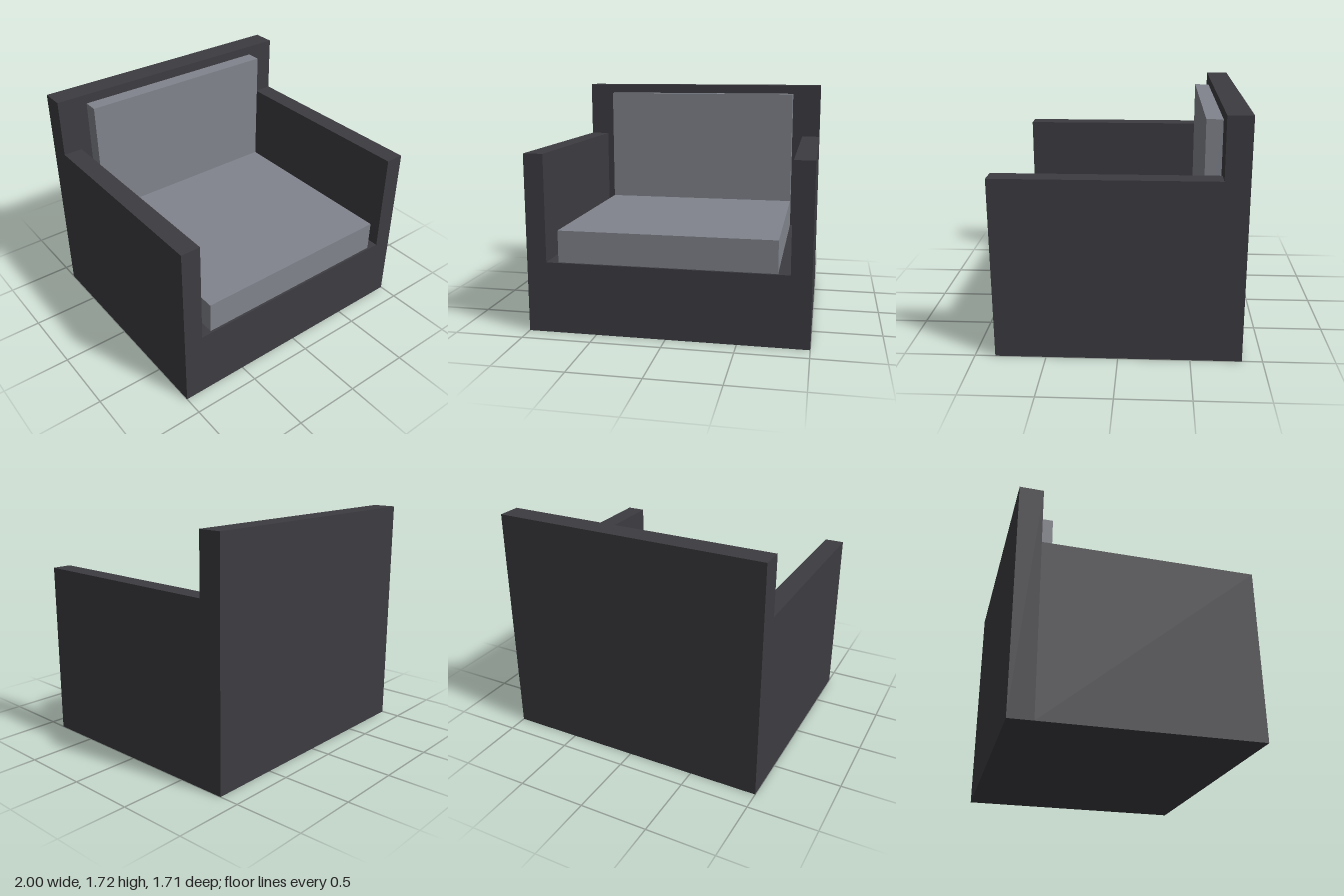
import * as THREE from 'three';

export function createModel() {
  const model = new THREE.Group();
  model.name = 'armchair';

  const frameMaterial = new THREE.MeshStandardMaterial({ color: 0x3d3c41 });
  frameMaterial.name = 'charcoal frame';
  const cushionMaterial = new THREE.MeshStandardMaterial({ color: 0x81848d });
  cushionMaterial.name = 'grey cushion';

  // Box given by its lower and upper corners
  function block(name, material, [x0, y0, z0], [x1, y1, z1]) {
    const mesh = new THREE.Mesh(new THREE.BoxGeometry(x1 - x0, y1 - y0, z1 - z0), material);
    mesh.position.set((x0 + x1) / 2, (y0 + y1) / 2, (z0 + z1) / 2);
    mesh.name = name;
    model.add(mesh);
  }

  const depth = 0.857;    // half the depth of the chair
  const backFront = -0.686; // front face of the backrest
  const armInner = 0.857;
  const baseTop = 0.514;
  const seatTop = 0.745;
  const cushionHalf = 0.773;

  // Frame: backrest, base and two arms
  block('backrest', frameMaterial, [-1, 0, -depth], [1, 1.715, backFront]);
  block('base', frameMaterial, [-armInner, 0, backFront], [armInner, baseTop, depth]);
  block('rightArm', frameMaterial, [-1, 0, backFront], [-armInner, 1.286, depth]);
  block('leftArm', frameMaterial, [armInner, 0, backFront], [1, 1.286, depth]);

  // Loose cushions
  block('seatCushion', cushionMaterial, [-cushionHalf, baseTop, backFront], [cushionHalf, seatTop, 0.84]);
  block('backCushion', cushionMaterial, [-cushionHalf, seatTop, backFront], [cushionHalf, 1.645, -0.573]);

  return model;
}
